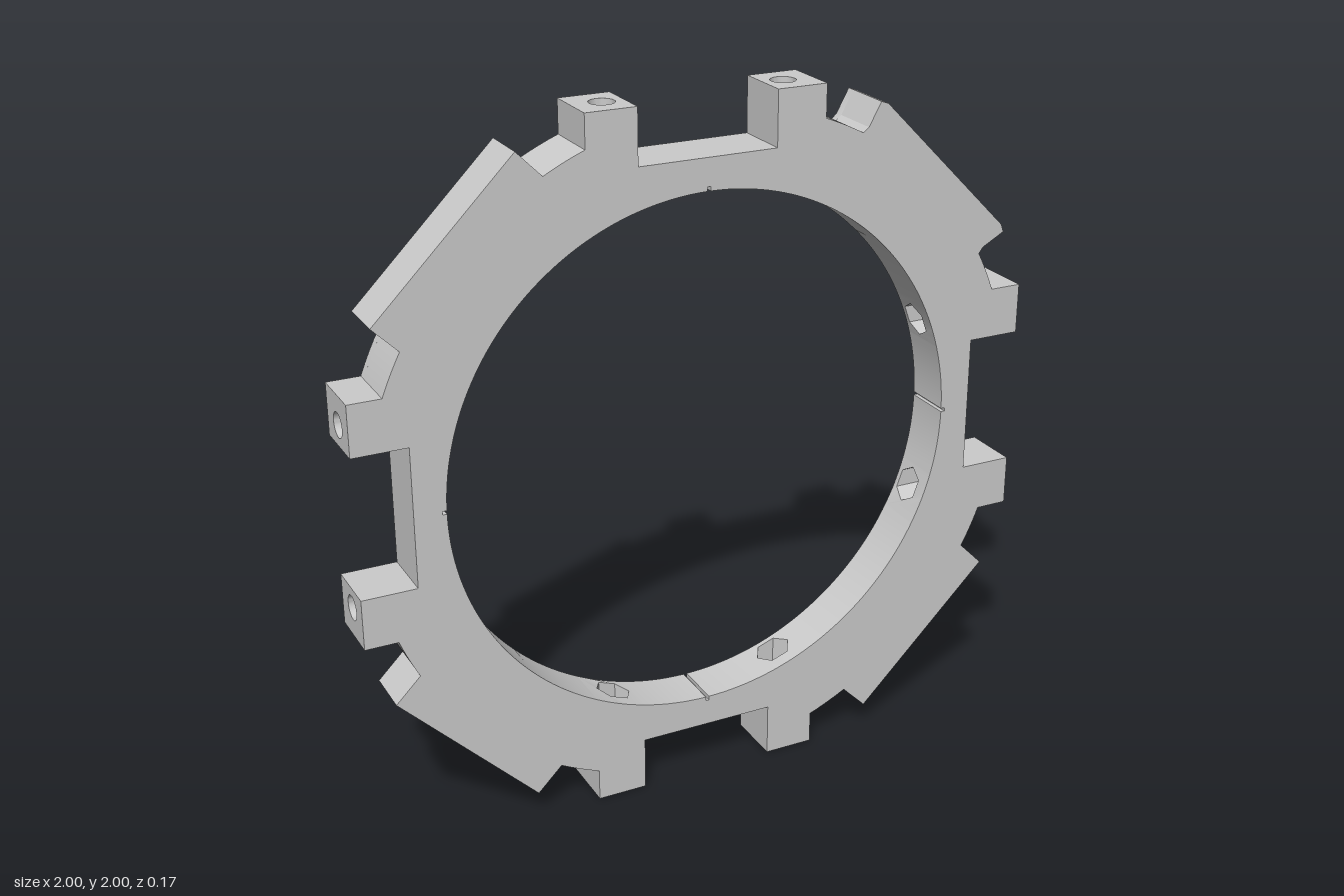
import * as THREE from 'three';
import { mergeGeometries, toCreasedNormals } from 'three/addons/utils/BufferGeometryUtils.js';

const BORE = 0.755, RECESS = 0.80, OUTER = 0.97, FLAT = 0.845;
const LUG_IN = 0.2, LUG_OUT = 0.345, HOLE_X = 0.26;
const BACK = -0.085, STEP = -0.06, FRONT = 0.085;

const material = new THREE.MeshStandardMaterial({ color: 0xcccccc });
const V = (x, y) => new THREE.Vector2(x, y);

// Points along a circle of radius r from angle a to angle b
function arc(r, a, b, n) {
  return Array.from({ length: n + 1 }, (_, i) => {
    const t = a + (b - a) * i / n;
    return V(r * Math.cos(t), r * Math.sin(t));
  });
}

// Position on the 45 degree side: t along the side, d out from the centre
const diag = (t, d) => V((d + t) * Math.SQRT1_2, (d - t) * Math.SQRT1_2);

function extrude(points, z0, z1, hole) {
  const shape = new THREE.Shape(points);
  if (hole) shape.holes.push(new THREE.Path(hole));
  return new THREE.ExtrudeGeometry(shape, { depth: z1 - z0, bevelEnabled: false }).translate(0, 0, z0);
}

function add(parent, name, geometry) {
  const mesh = new THREE.Mesh(toCreasedNormals(geometry, 0.4), material);
  mesh.name = name;
  parent.add(mesh);
  return mesh;
}

// Thin rear layer: full outline with a wider bore
function rearLayer() {
  const outline = [];
  const a = Math.asin(LUG_OUT / OUTER);
  for (let q = 0; q < 4; q++) {
    const side = [V(-LUG_IN, FLAT), V(LUG_IN, FLAT), V(LUG_IN, 1), V(LUG_OUT, 1),
      ...arc(OUTER, Math.PI / 2 - a, a, 24), V(1, LUG_OUT), V(1, LUG_IN)];
    side.forEach(p => outline.push(p.rotateAround(V(0, 0), -q * Math.PI / 2)));
  }
  return extrude(outline, BACK, STEP, arc(RECESS, 0, Math.PI * 2, 128).slice(0, -1));
}

// Rim between two lugs, with a fine seam groove in the bore
function flatRim() {
  const a = Math.asin(LUG_IN / BORE), g = 0.005, seam = Math.asin(g / BORE), mid = Math.PI / 2;
  return extrude([V(LUG_IN, FLAT), V(-LUG_IN, FLAT),
    ...arc(BORE, mid + a, mid + seam, 8), V(-g, BORE + 0.012), V(g, BORE + 0.012),
    ...arc(BORE, mid - seam, mid - a, 8)], STEP, FRONT);
}

// Corner of the ring with its diagonal pad; the clip version has barbed ends
function cornerRim(barbed) {
  const a = Math.asin(LUG_OUT / OUTER), b = Math.asin(LUG_OUT / BORE);
  const h = 0.279, k = Math.asin(h / OUTER), mid = Math.PI / 4;
  const end = s => barbed
    ? [diag(s * 0.276, 0.95), diag(s * 0.297, 1.022), diag(s * 0.276, 1.032)]
    : [diag(s * h, 1.03)];
  return extrude([
    ...arc(OUTER, Math.PI / 2 - a, mid + k, 6), ...end(-1),
    ...end(1).reverse(), ...arc(OUTER, mid - k, a, 6),
    ...arc(BORE, b, Math.PI / 2 - b, 24)], STEP, FRONT);
}

// Lug drilled from outside, with a hexagonal nut pocket opening into the bore
function lug(side) {
  const xs = Array.from({ length: 9 }, (_, i) => LUG_IN + (LUG_OUT - LUG_IN) * i / 8);
  const block = [...xs.map(x => V(side * x, -FRONT)), ...xs.reverse().map(x => V(side * x, -STEP))];
  const hole = (r, n) => arc(r, 0, Math.PI * 2, n).slice(0, -1).map(p => V(p.x + side * HOLE_X, p.y));
  const pocketTop = 0.88;
  const outer = extrude(block, pocketTop, 1, hole(0.035, 32)).rotateX(-Math.PI / 2);
  const inner = extrude(block, 0, pocketTop, hole(0.05, 6)).rotateX(-Math.PI / 2);
  // Bend the inner end onto the bore
  const p = inner.attributes.position;
  for (let i = 0; i < p.count; i++) {
    if (p.getY(i) < 0.4) p.setY(i, Math.sqrt(BORE ** 2 - p.getX(i) ** 2));
  }
  return mergeGeometries([outer, inner]);
}

export function createModel() {
  const model = new THREE.Group();
  model.name = 'mountingRing';
  const ring = new THREE.Group();
  ring.name = 'ring';
  ring.position.y = 1;
  model.add(ring);

  add(ring, 'rearLayer', rearLayer());

  // Four equal quarters; the upper left one carries the clip
  for (let q = 0; q < 4; q++) {
    const quarter = new THREE.Group();
    quarter.name = 'quarter' + (q + 1);
    quarter.rotation.z = -q * Math.PI / 2;
    ring.add(quarter);
    add(quarter, 'flatRim', flatRim());
    add(quarter, 'cornerPad', cornerRim(q === 0));
    for (const s of [-1, 1]) add(quarter, s < 0 ? 'rightLug' : 'leftLug', lug(s));
  }

  // Clip barbs run on to the back face
  for (const s of [-1, 1]) {
    add(ring, 'clipBarb', extrude([diag(s * 0.255, 0.93), diag(s * 0.276, 0.93), diag(s * 0.276, 0.95),
      diag(s * 0.297, 1.022), diag(s * 0.276, 1.032), diag(s * 0.255, 1.032)], BACK, STEP));
  }
  return model;
}
